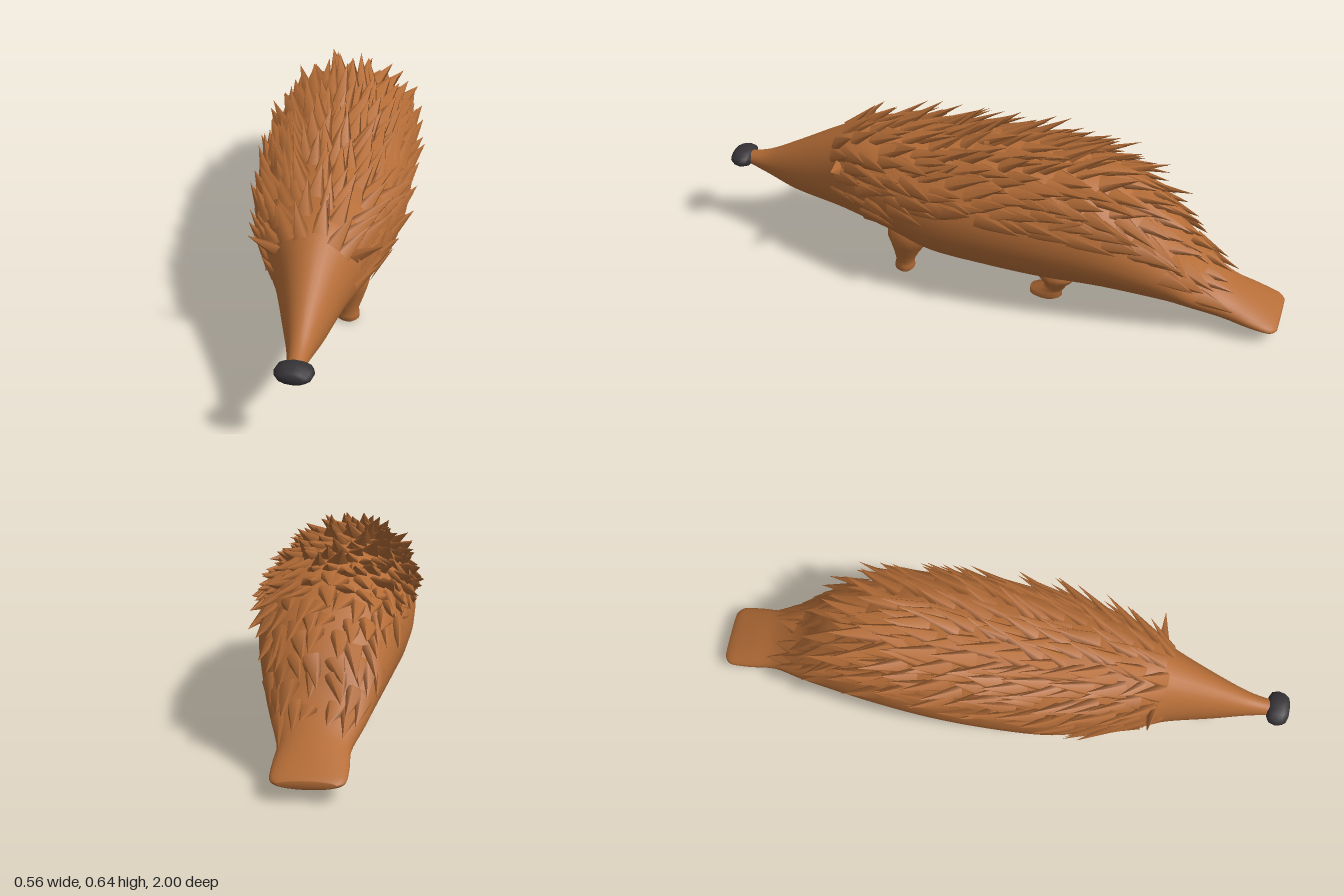
import * as THREE from 'three';
import { mergeGeometries } from 'three/addons/utils/BufferGeometryUtils.js';

// Body sections from tail to snout: z, bottom, top, half width
const SECTIONS = [
  [-0.995, 0.045, 0.068, 0.085], [-0.97, 0.036, 0.085, 0.11], [-0.9, 0.036, 0.118, 0.114],
  [-0.8, 0.048, 0.165, 0.112], [-0.7, 0.074, 0.24, 0.145], [-0.6, 0.086, 0.36, 0.178],
  [-0.4, 0.1, 0.505, 0.225], [-0.2, 0.097, 0.555, 0.248], [0, 0.105, 0.56, 0.252],
  [0.2, 0.118, 0.55, 0.24], [0.35, 0.16, 0.542, 0.208], [0.5, 0.182, 0.53, 0.16],
  [0.6, 0.19, 0.488, 0.116], [0.75, 0.21, 0.405, 0.07], [0.86, 0.25, 0.347, 0.04],
  [0.94, 0.282, 0.325, 0.026],
];

// Smoothed body sections
const curves = [1, 2, 3].map(k => new THREE.SplineCurve(SECTIONS.map(s => new THREE.Vector2(s[0], s[k]))));
const DENSE = Array.from({ length: 76 }, (_, i) => {
  const p = curves.map(c => c.getPoint(i / 75));
  return { z: p[0].x, bottom: p[0].y, top: p[1].y, half: p[2].y };
});

function sectionAt(z) {
  let i = 0;
  while (i < DENSE.length - 2 && DENSE[i + 1].z < z) i++;
  const a = DENSE[i], b = DENSE[i + 1], t = (z - a.z) / (b.z - a.z);
  const mix = k => THREE.MathUtils.lerp(a[k], b[k], t);
  return { z, bottom: mix('bottom'), top: mix('top'), half: mix('half') };
}

function bodyPoint(s, angle) {
  return new THREE.Vector3(
    Math.cos(angle) * s.half,
    (s.top + s.bottom) / 2 + Math.sin(angle) * (s.top - s.bottom) / 2,
    s.z);
}

// Upright cross-section ring of a body part
const ringOf = (s, n) => Array.from({ length: n }, (_, j) => bodyPoint(s, j / n * Math.PI * 2));

// Skin over a list of closed rings, with both ends capped
function loft(rings) {
  const n = rings[0].length, pos = [], idx = [];
  rings.forEach(r => r.forEach(p => pos.push(p.x, p.y, p.z)));
  for (let i = 0; i < rings.length - 1; i++) {
    for (let j = 0; j < n; j++) {
      const a = i * n + j, b = i * n + (j + 1) % n;
      idx.push(a, b, a + n, b, b + n, a + n);
    }
  }
  [0, rings.length - 1].forEach((r, end) => {
    const c = rings[r].reduce((s, p) => s.add(p), new THREE.Vector3()).divideScalar(n);
    const ci = pos.length / 3;
    pos.push(c.x, c.y, c.z);
    for (let j = 0; j < n; j++) {
      const a = r * n + j, b = r * n + (j + 1) % n;
      if (end) idx.push(ci, a, b); else idx.push(ci, b, a);
    }
  });
  const g = new THREE.BufferGeometry();
  g.setAttribute('position', new THREE.Float32BufferAttribute(pos, 3));
  g.setIndex(idx);
  g.computeVertexNormals();
  return g;
}

// Leg rings from the foot up: x, y, z, x radius, z radius
function legGeometry(side, rows) {
  return loft(rows.map(([x, y, z, rx, rz]) => Array.from({ length: 14 }, (_, j) => {
    const a = j / 14 * Math.PI * 2;
    return new THREE.Vector3(side * x + Math.sin(a) * rx, y, z + Math.cos(a) * rz);
  })));
}

function seeded(seed) {
  return () => (seed = (seed * 16807) % 2147483647) / 2147483647;
}

// Flattened quill from a base point along a direction
function quill(base, dir, side, length, width) {
  const g = new THREE.ConeGeometry(1, 1, 5, 1, true).translate(0, 0.5, 0);
  const d = dir.clone().normalize();
  const s = side.clone().addScaledVector(d, -side.dot(d)).normalize();
  const m = new THREE.Matrix4().makeBasis(s, d, s.clone().cross(d)).setPosition(base);
  return g.scale(width, length, width * 0.5).applyMatrix4(m);
}

// Lowest height of the quill coat along the body
function coatEdge(z) {
  const pts = [[-0.8, 0.11], [-0.62, 0.24], [-0.45, 0.37], [0, 0.39], [0.3, 0.37], [0.46, 0.26], [0.6, 0.34]];
  const i = Math.max(0, pts.findIndex(p => z <= p[0]) - 1);
  return THREE.MathUtils.mapLinear(z, pts[i][0], pts[i + 1][0], pts[i][1], pts[i + 1][1]);
}

function coatGeometry() {
  const rnd = seeded(4711), list = [];
  let row = 0;
  for (let z = 0.555; z > -0.73; z -= 0.053, row++) {
    const s = sectionAt(z);
    const mid = (s.top + s.bottom) / 2, ry = (s.top - s.bottom) / 2;
    const low = Math.asin(THREE.MathUtils.clamp((coatEdge(z) - mid) / ry, -0.6, 0.9));
    const span = Math.PI - 2 * low;
    const count = Math.max(4, Math.round(span * (s.half + ry) / 2 / 0.056));
    // Quills lie flatter and shorter toward the tail
    const rear = THREE.MathUtils.smoothstep(-z, 0.4, 0.65);
    for (let j = 0; j < count; j++) {
      const t = (j + 0.25 + (row % 2) * 0.5 + (rnd() - 0.5) * 0.5) / count;
      const a = low + span * THREE.MathUtils.clamp(t, 0, 1);
      const sec = sectionAt(z + (rnd() - 0.5) * 0.04);
      const p = bodyPoint(sec, a);
      const normal = new THREE.Vector3(Math.cos(a) / s.half, Math.sin(a) / ry, 0).normalize();
      const side = new THREE.Vector3(-normal.y, normal.x, 0);
      // Quills follow the slope of the back; those on top stand up more than those on the flanks
      const back = bodyPoint(sectionAt(sec.z - 0.05), a).sub(p).normalize();
      const upward = Math.max(0, Math.sin(a));
      const lift = (0.1 + 0.2 * upward + rnd() * (0.16 + 0.28 * upward)) * (1 - 0.35 * rear);
      const dir = back.addScaledVector(normal, lift).addScaledVector(side, (rnd() - 0.5) * 0.5);
      const length = (row < 2 ? 0.085 : 0.115 - 0.03 * rear) + rnd() * 0.06;
      p.addScaledVector(normal, -0.008);
      list.push(quill(p, dir, side, length, 0.028 + rnd() * 0.014));
    }
  }
  return mergeGeometries(list);
}

export function createModel() {
  const fur = new THREE.MeshStandardMaterial({ color: 0xb56d37 });
  fur.name = 'brown fur';
  const dark = new THREE.MeshStandardMaterial({ color: 0x363336 });
  dark.name = 'dark nose';

  const model = new THREE.Group();
  model.name = 'spinyAnimal';
  const add = (name, geometry, material) => {
    const mesh = new THREE.Mesh(geometry, material);
    mesh.name = name;
    model.add(mesh);
  };

  // Body with head and flat tail in one skin
  add('body', loft(DENSE.map(s => ringOf(s, 32))), fur);
  add('quills', coatGeometry(), fur);

  // Blunt nose, broadest behind its front face
  add('nose', loft([
    [0.926, 0.288, 0.322, 0.036], [0.936, 0.278, 0.332, 0.055], [0.958, 0.273, 0.336, 0.062],
    [0.98, 0.276, 0.334, 0.057], [0.994, 0.284, 0.326, 0.046], [1, 0.293, 0.318, 0.028],
  ].map(([z, bottom, top, half]) => ringOf({ z, bottom, top, half }, 12))), dark);

  for (const side of [1, -1]) {
    const label = side > 0 ? 'left' : 'right';
    // Front leg, spreading into the chest, with a small paw
    add(label + 'FrontLeg', legGeometry(side, [
      [0.08, 0.005, 0.327, 0.03, 0.026], [0.08, 0.014, 0.328, 0.038, 0.035],
      [0.08, 0.032, 0.328, 0.037, 0.034], [0.082, 0.05, 0.325, 0.033, 0.033],
      [0.087, 0.09, 0.317, 0.042, 0.045], [0.092, 0.13, 0.308, 0.05, 0.062],
      [0.096, 0.165, 0.3, 0.055, 0.08], [0.092, 0.2, 0.296, 0.05, 0.085],
      [0.085, 0.24, 0.296, 0.03, 0.06],
    ]), fur);
    // Short hind leg with a forward foot
    add(label + 'HindLeg', legGeometry(side, [
      [0.078, 0.01, -0.193, 0.028, 0.048], [0.078, 0.018, -0.192, 0.036, 0.058],
      [0.078, 0.042, -0.194, 0.035, 0.056], [0.079, 0.054, -0.222, 0.032, 0.038],
      [0.082, 0.075, -0.228, 0.036, 0.04], [0.085, 0.098, -0.231, 0.046, 0.06],
      [0.086, 0.12, -0.235, 0.05, 0.072], [0.085, 0.16, -0.235, 0.03, 0.05],
    ]), fur);
    // Pointed ear
    add(label + 'Ear', quill(
      new THREE.Vector3(side * 0.105, 0.415, 0.54), new THREE.Vector3(side, 0.45, -0.1),
      new THREE.Vector3(0, 1, 0.3), 0.12, 0.04), fur);
  }
  return model;
}
